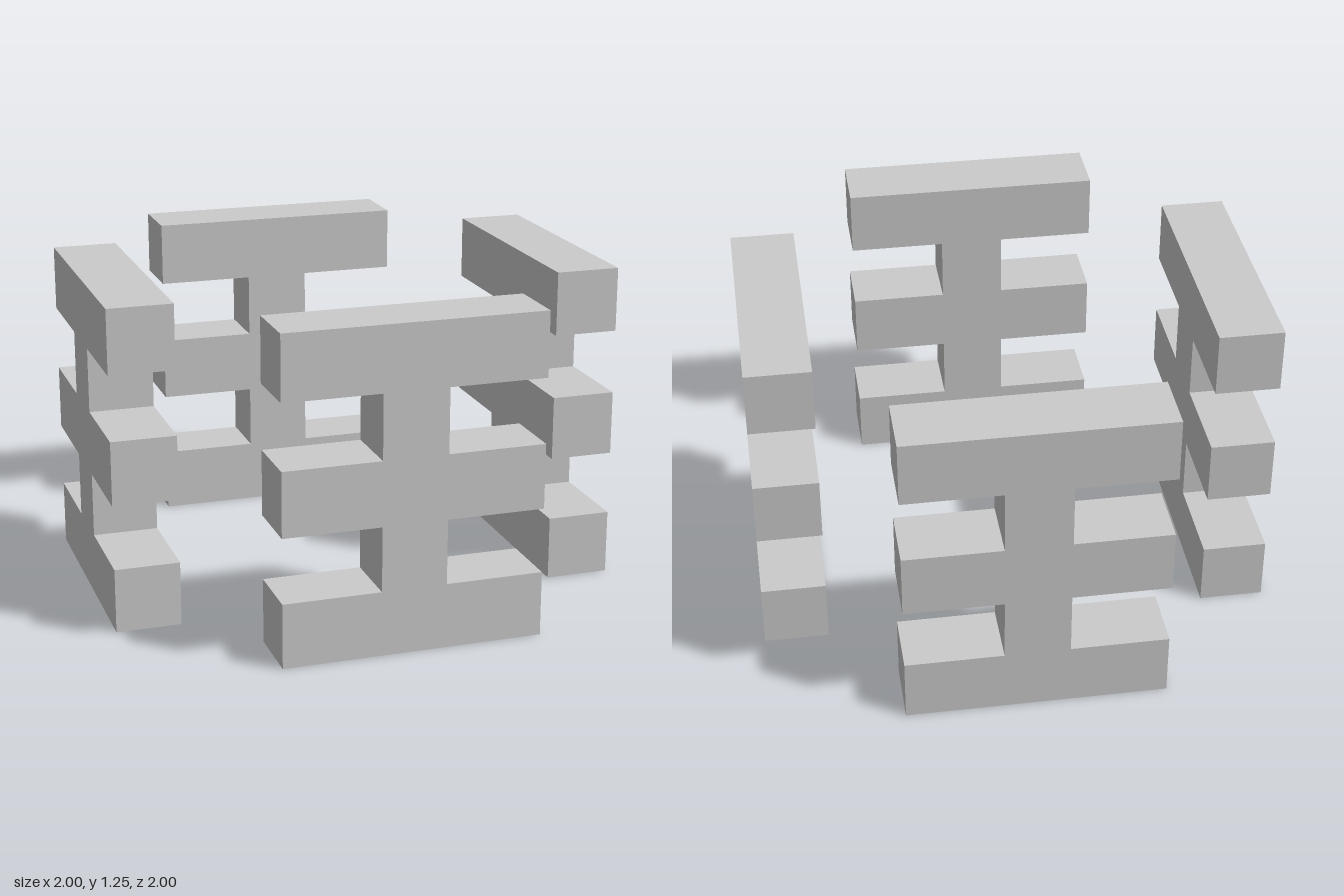
import * as THREE from 'three';

const material = new THREE.MeshStandardMaterial({ color: 0xcccccc, flatShading: true });
const T = 0.25; // thickness of every bar and post

// Half outline of a panel: three wide bars joined by a narrow central post
function panelGeometry() {
  const wide = 0.5, narrow = T / 2;
  const right = [];
  for (let i = 0; i < 5; i++) {
    const x = i % 2 === 0 ? wide : narrow;
    right.push(new THREE.Vector2(x, i * T), new THREE.Vector2(x, (i + 1) * T));
  }
  const left = right.map((p) => new THREE.Vector2(-p.x, p.y)).reverse();
  const shape = new THREE.Shape([...right, ...left]);
  return new THREE.ExtrudeGeometry(shape, { depth: T, bevelEnabled: false });
}

export function createModel() {
  const model = new THREE.Group();
  model.name = 'panelRing';
  const geometry = panelGeometry();
  geometry.translate(0, 0, 1 - T); // outer face at distance 1 from the centre

  // Four identical panels, a quarter turn apart
  ['frontPanel', 'leftPanel', 'backPanel', 'rightPanel'].forEach((name, i) => {
    const panel = new THREE.Mesh(geometry, material);
    panel.name = name;
    panel.rotation.y = (i * Math.PI) / 2;
    model.add(panel);
  });
  return model;
}
